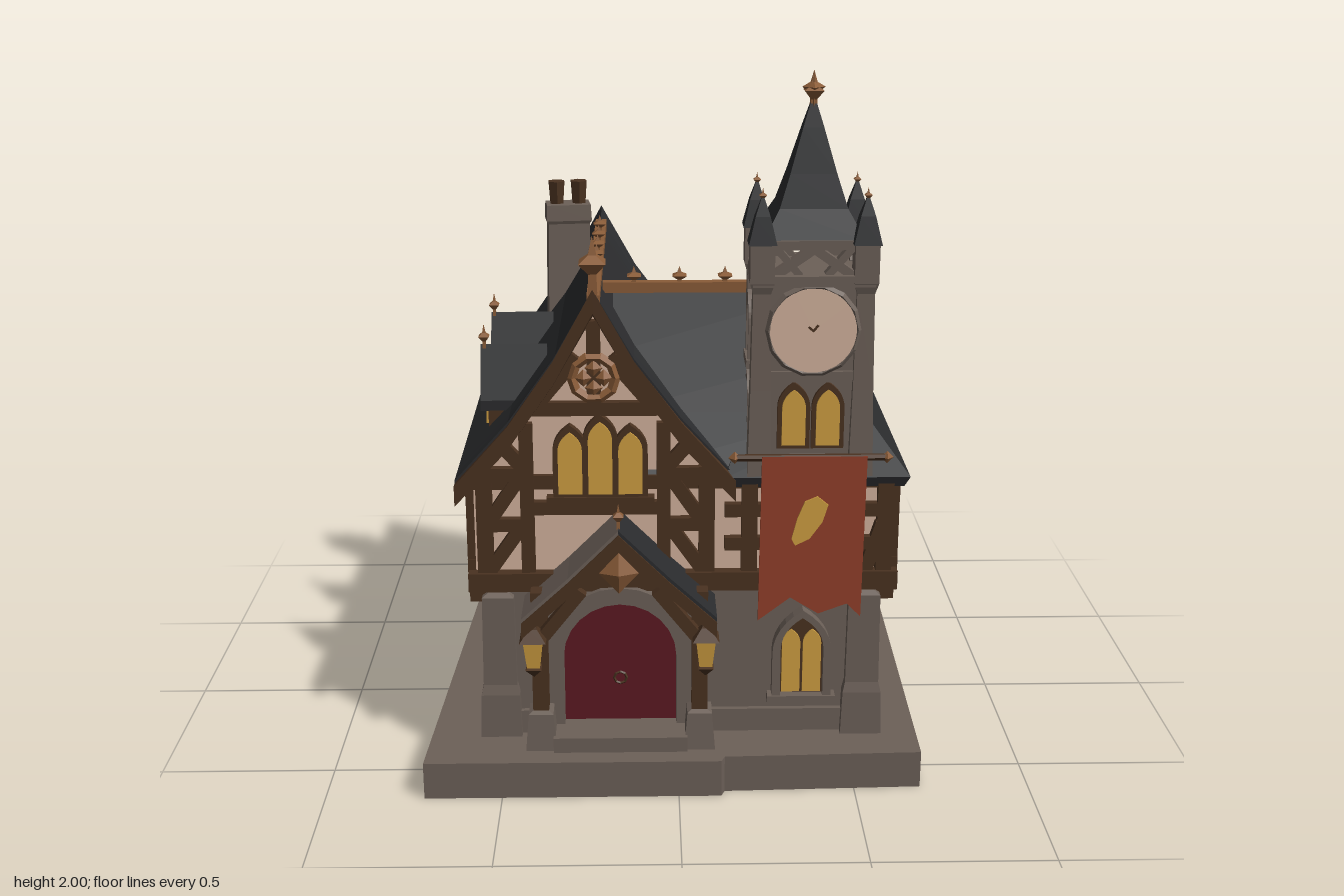
import * as THREE from 'three';

const mat = (name, color) => { const m = new THREE.MeshStandardMaterial({ color }); m.name = name; return m; };
const stone = mat('stone', 0x6c6058), slate = mat('slate', 0x2b2c2e), timber = mat('timber', 0x4a3220);
const plaster = mat('plaster', 0xd4b49e), glass = mat('glass', 0xd0a042), copper = mat('copper', 0x8a5c38);
const cloth = mat('cloth', 0x92402a), doorRed = mat('doorRed', 0x5c1922);

// Faceted mesh added to a parent
function add(parent, name, geo, material, x = 0, y = 0, z = 0) {
  const g = geo.index ? geo.toNonIndexed() : geo;
  g.computeVertexNormals();
  const m = new THREE.Mesh(g, material);
  m.name = name;
  m.position.set(x, y, z);
  parent.add(m);
  return m;
}
const box = (p, name, m, w, h, d, x, y, z) => add(p, name, new THREE.BoxGeometry(w, h, d), m, x, y, z);
const group = (p, name, x = 0, y = 0, z = 0, ry = 0) => {
  const g = new THREE.Group();
  g.name = name; g.position.set(x, y, z); g.rotation.y = ry;
  p.add(g);
  return g;
};
const extrude = (shape, depth, steps = 1) =>
  new THREE.ExtrudeGeometry(shape, { depth, steps, bevelEnabled: false, curveSegments: 6 });
const poly = pts => new THREE.Shape(pts.map(p => new THREE.Vector2(p[0], p[1])));

// Timber between two points of a facade
function beam(p, a, b, c, d, w = 0.038, z = 0.008, m = timber) {
  const r = box(p, 'beam', m, Math.hypot(c - a, d - b) + w * 0.5, w, 0.03, (a + c) / 2, (b + d) / 2, z);
  r.rotation.z = Math.atan2(d - b, c - a);
}
// Pointed or round arch outline standing on y = 0
function arch(w, h, round, C = THREE.Shape) {
  const s = new C(), r = w / 2, k = h - (round ? r : w * 0.8);
  s.moveTo(-r, 0); s.lineTo(r, 0); s.lineTo(r, k);
  if (round) s.absarc(0, k, r, 0, Math.PI, false);
  else { s.quadraticCurveTo(r, k + (h - k) * 0.6, 0, h); s.quadraticCurveTo(-r, k + (h - k) * 0.6, -r, k); }
  s.closePath();
  return s;
}
// Arched window with paired lights in a stone frame
function archWindow(p, u, y, w, h, z = 0) {
  const g = group(p, 'archWindow', u, y, z), s = arch(w, h), b = w * 0.14;
  s.holes.push(arch(w - 2 * b, h - b, false, THREE.Path));
  add(g, 'frame', extrude(s, 0.035), stone);
  add(g, 'tracery', extrude(arch(w - 2 * b, h - b), 0.012), timber);
  const lw = (w - 2 * b) * 0.43;
  for (const i of [-1, 1]) add(g, 'light', extrude(arch(lw, h * 0.7), 0.006), glass, i * lw * 0.57, h * 0.06, 0.012);
  box(g, 'sill', stone, w * 1.15, 0.025, 0.05, 0, 0, 0.015);
}
// Row of tall pointed lights in a timber panel
function lightRow(p, u, y, w, h, n, rise = 0) {
  const g = group(p, 'windowRow', u, y), step = w / n;
  for (let i = 0; i < n; i++) {
    const hi = h - rise * Math.abs(i - (n - 1) / 2), x = (i + 0.5) * step - w / 2;
    add(g, 'lightFrame', extrude(arch(step * 1.15, hi + 0.02), 0.025), timber, x, -0.015, 0);
    add(g, 'light', extrude(arch(step * 0.8, hi - 0.02), 0.006), glass, x, 0.005, 0.025);
  }
  box(g, 'sill', timber, w + 0.05, 0.03, 0.04, 0, -0.02, 0.01);
}
// Band of constant drop under a roof profile
const chevron = (pts, t) => poly([...pts, ...pts.map(([x, y]) => [x, y - t]).reverse()]);
const lower = (pts, t) => pts.map(([x, y]) => [x, y - t]);
// Four sided turned form from [radius, height] points
function square(p, name, m, pts, x, y, z, sx = 1, sz = 1) {
  const g = new THREE.LatheGeometry(pts.map(([r, h]) => new THREE.Vector2(r * Math.SQRT2, h)), 4);
  g.rotateY(Math.PI / 4); g.scale(sx, 1, sz);
  return add(p, name, g, m, x, y, z);
}
const finial = (p, x, y, z, h, r) =>
  square(p, 'finial', copper, [[0, 0], [r * 0.35, 0], [r * 0.3, h * 0.35], [r, h * 0.55], [r * 0.3, h * 0.68], [0, h]], x, y, z);

export function createModel() {
  const root = new THREE.Group();
  root.name = 'timberHall';

  // Stone base, ground floor and buttresses
  const base = extrude(poly([[-0.72, -0.66], [0.12, -0.66], [0.13, -0.635], [0.69, -0.62], [0.71, 0.67], [-0.65, 0.66]]), 0.11);
  base.rotateX(-Math.PI / 2);
  add(root, 'base', base, stone);
  box(root, 'groundFloor', stone, 1.1, 0.5, 1.02, 0.01, 0.34, -0.04);
  box(root, 'plinth', stone, 1.13, 0.08, 1.05, 0.01, 0.14, -0.04);
  for (const x of [-0.51, 0.53]) for (const z of [-0.53, 0.45])
    square(root, 'buttress', stone, [[0, 0], [0.06, 0], [0.055, 0.14], [0.048, 0.17], [0.045, 0.44], [0, 0.47]], x, 0.1, z);

  // Jettied upper floor
  box(root, 'upperFloor', plaster, 1.17, 0.32, 1.04, 0.015, 0.74, -0.05);
  box(root, 'jettyBeam', timber, 1.21, 0.055, 1.09, 0.015, 0.59, -0.0425);
  box(root, 'wallPlate', timber, 1.2, 0.04, 1.06, 0.015, 0.885, -0.0425);
  for (let i = 0; i < 9; i++) {
    const t = i / 8;
    for (const x of [-0.565, 0.59]) box(root, 'corbel', timber, 0.05, 0.05, 0.04, x, 0.545, -0.55 + t * 1.0);
    box(root, 'corbel', timber, 0.04, 0.05, 0.05, -0.53 + t * 1.08, 0.545, -0.57);
  }

  // Main roof with curved slopes and rising gable tips
  const prof = [[-0.62, 0.89], [-0.47, 1.05], [-0.34, 1.22], [-0.23, 1.4], [-0.12, 1.22], [0.01, 1.06], [0.16, 0.9]];
  const lift = g => {
    const q = g.attributes.position;
    for (let i = 0; i < q.count; i++) {
      const t = Math.max(0, (Math.abs((q.getZ(i) + 0.62) / 1.12 - 0.5) - 0.38) / 0.12);
      q.setY(i, q.getY(i) + 0.045 * t * t * Math.max(0, (q.getY(i) - 0.95) / 0.45));
    }
    return g;
  };
  const slab = (shape, a, b, steps) => { const g = extrude(shape, b - a, steps); g.translate(0, 0, a); return lift(g); };
  add(root, 'mainRoof', slab(chevron(prof, 0.05), -0.62, 0.48, 20), slate);
  add(root, 'frontBargeboard', slab(chevron(lower(prof, 0.008), 0.06), 0.48, 0.505, 1), timber);
  add(root, 'backBargeboard', slab(chevron(lower(prof, 0.035), 0.055), -0.61, -0.585, 1), timber);
  const fill = lower(prof.slice(1, 6), 0.03);
  add(root, 'gableWall', extrude(poly([[-0.57, 0.86], [-0.57, 0.91], ...fill, [0.13, 0.91], [0.13, 0.86]]), 1.04), plaster, 0, 0, -0.57);
  box(root, 'mainRidge', copper, 0.035, 0.03, 1.02, -0.23, 1.395, -0.06);
  for (const z of [0.16, 0.03, -0.1, -0.24, -0.39]) finial(root, -0.23, 1.4, z, 0.06, 0.02);
  finial(root, -0.23, 1.42, 0.475, 0.16, 0.036);

  // Cross roof reaching to the tower
  const cross = group(root, 'crossRoof', 0.48, 0, 0, -Math.PI / 2);
  const cp = [[-0.12, 0.93], [-0.02, 1.06], [0.08, 1.2], [0.19, 1.37], [0.28, 1.2], [0.37, 1.05], [0.482, 0.9]];
  add(cross, 'crossSlopes', extrude(poly(cp), 0.66), slate);
  add(cross, 'crossGableEnd', extrude(poly(lower(cp, 0.012)), 0.008), stone, 0, 0, -0.008);
  box(root, 'crossRidge', copper, 0.7, 0.03, 0.03, 0.14, 1.37, 0.19);
  for (const x of [-0.12, 0.01, 0.14]) finial(root, x, 1.37, 0.19, 0.06, 0.02);

  // Hipped roof on the side wing, lofted from rectangles [x0, x1, z0, z1, y]
  const rings = [[0.16, 0.63, -0.59, 0.49, 0.87], [0.13, 0.645, -0.61, 0.5, 0.9], [0.2, 0.53, -0.47, 0.34, 1.04], [0.3, 0.42, -0.35, 0.1, 1.17]];
  const pos = [], idx = [];
  rings.forEach(([a, b, c, d, y], i) => {
    pos.push(a, y, d, b, y, d, b, y, c, a, y, c);
    if (i) for (let k = 0; k < 4; k++) {
      const p = i * 4 - 4 + k, q = i * 4 - 4 + (k + 1) % 4;
      idx.push(p, q, q + 4, p, q + 4, p + 4);
    }
  });
  idx.push(0, 2, 1, 0, 3, 2, 12, 13, 14, 12, 14, 15);
  const hip = new THREE.BufferGeometry();
  hip.setAttribute('position', new THREE.Float32BufferAttribute(pos, 3));
  hip.setIndex(idx);
  add(root, 'hipRoof', hip, slate);
  box(root, 'hipRidgeCap', stone, 0.11, 0.016, 0.42, 0.355, 1.17, -0.14);

  // Facades: local x along the wall, z outward
  const front = group(root, 'frontFacade', 0, 0, 0.47), back = group(root, 'backFacade', 0, 0, -0.57, Math.PI);
  const gableFrame = (f, s) => {
    const c = -0.23 * s, B = (a, b, d, e, w) => beam(f, c + a, b, c + d, e, w);
    for (const i of [-1, 1]) {
      B(i * 0.31, 0.6, i * 0.31, 0.92, 0.045); B(i * 0.19, 0.6, i * 0.19, 1.05); B(i * 0.31, 0.91, i * 0.2, 0.91);
      B(i * 0.31, 0.76, i * 0.2, 0.76); B(i * 0.3, 0.62, i * 0.21, 0.75); B(i * 0.2, 0.93, i * 0.26, 1.0);
      B(i * 0.15, 1.12, i * 0.05, 1.24); B(i * 0.29, 0.78, i * 0.21, 0.9);
    }
    B(-0.17, 1.1, 0.17, 1.1); B(0, 1.1, 0, 1.34);
    add(f, 'gableRosette', new THREE.TorusGeometry(0.06, 0.014, 4, 10), copper, c, 1.19, 0.02);
    for (let k = 0; k < 4; k++)
      add(f, 'rosettePetal', new THREE.OctahedronGeometry(0.025).scale(1, 1, 0.6), copper, c + 0.028 * Math.cos(k * Math.PI / 2), 1.19 + 0.028 * Math.sin(k * Math.PI / 2), 0.022);
  };
  gableFrame(front, 1);
  gableFrame(back, -1);
  lightRow(front, -0.215, 0.85, 0.25, 0.23, 3, 0.03);
  beam(front, -0.42, 0.81, -0.04, 0.81);
  lightRow(back, 0.23, 0.72, 0.3, 0.33, 4, 0.03);
  for (const u of [0.2, 0.58]) beam(front, u, 0.61, u, 0.89, 0.045);
  for (const y of [0.7, 0.8]) beam(front, 0.14, y, 0.56, y);
  beam(front, 0.53, 0.62, 0.57, 0.75);
  for (const u of [-0.57, -0.44, -0.32, -0.16]) beam(back, u, 0.61, u, 0.89);
  beam(back, -0.57, 0.76, -0.14, 0.76);
  beam(back, -0.56, 0.61, -0.45, 0.75); beam(back, -0.17, 0.61, -0.3, 0.75);
  archWindow(front, 0.355, 0.22, 0.17, 0.28);
  for (const u of [-0.3, 0.2]) archWindow(back, u, 0.23, 0.18, 0.28, -0.02);

  for (const s of [1, -1]) {
    const f = group(root, s > 0 ? 'leftFacade' : 'rightFacade', s > 0 ? 0.6 : -0.57, 0, 0, s * Math.PI / 2);
    const B = (a, b, c, d, w) => beam(f, a * s, b, c * s, d, w);
    for (const u of [-0.45, -0.31, -0.17, -0.05, 0.15, 0.26, 0.4, 0.55]) B(u, 0.6, u, 0.87, 0.032);
    B(-0.46, 0.85, 0.55, 0.85); B(-0.46, 0.63, 0.55, 0.63);
    B(-0.43, 0.82, -0.33, 0.66); B(-0.06, 0.64, -0.15, 0.82); B(0.16, 0.64, 0.25, 0.82); B(0.53, 0.82, 0.42, 0.65);
    for (const u of [-0.24, 0.33]) box(f, 'redPanel', cloth, 0.11, 0.19, 0.008, u * s, 0.74, 0.012);
    beam(f, 0.05 * s - 0.08, 0.67, 0.05 * s + 0.08, 0.67);
    lightRow(f, 0.05 * s, 0.7, 0.16, 0.14, 2);
    for (const u of [-0.13, 0.27]) archWindow(f, u * s, 0.22, 0.2, 0.29, s > 0 ? -0.04 : -0.03);
  }

  // Dormers on the side slope
  for (const z of [-0.14, 0.22]) {
    const d = group(root, 'dormer', -0.54, 0, z, -Math.PI / 2);
    add(d, 'dormerBody', extrude(poly([[-0.045, 0.94], [0.045, 0.94], [0.045, 1.09], [0, 1.18], [-0.045, 1.09]]), 0.17), timber, 0, 0, -0.17);
    add(d, 'dormerRoof', extrude(chevron([[-0.065, 1.06], [0, 1.21], [0.065, 1.06]], 0.03), 0.19), slate, 0, 0, -0.17);
    add(d, 'dormerLight', extrude(arch(0.055, 0.12), 0.008), glass, 0, 0.98, 0);
    finial(d, 0, 1.19, 0.01, 0.08, 0.015);
  }

  // Chimney with two pots
  const chim = group(root, 'chimney', -0.33, 0, -0.39, 0.12);
  square(chim, 'stack', stone, [[0, 1.05], [0.075, 1.05], [0.068, 1.44], [0.075, 1.45], [0.072, 1.5], [0, 1.5]], 0, 0, 0, 0.95, 0.62);
  for (const x of [-0.035, 0.035]) add(chim, 'pot', new THREE.CylinderGeometry(0.028, 0.022, 0.08, 6), timber, x, 1.53, 0);

  // Clock tower
  const tower = group(root, 'clockTower', 0.365, 0, 0.345);
  box(tower, 'shaft', stone, 0.28, 0.58, 0.25, 0, 1.17, 0);
  for (const [y, e] of [[0.945, 0.05], [1.185, 0.02], [1.455, 0.05]]) box(tower, 'cornice', stone, 0.28 + e, 0.03, 0.25 + e, 0, y, 0);
  box(tower, 'belfryTop', stone, 0.29, 0.025, 0.26, 0, 1.55, 0);
  for (const x of [-0.14, 0.14]) for (const z of [-0.118, 0.118]) {
    square(tower, 'cornerPier', stone, [[0, 0.9], [0.034, 0.9], [0.028, 1.15], [0.024, 1.42], [0.033, 1.45], [0.033, 1.56], [0, 1.56]], x, 0, z);
    square(tower, 'pinnacle', slate, [[0, 1.55], [0.038, 1.555], [0.02, 1.63], [0, 1.69]], x, 0, z);
    finial(tower, x, 1.66, z, 0.045, 0.01);
  }
  for (let k = 0; k < 4; k++) {
    const a = k * Math.PI / 2, r = k % 2 ? 0.14 : 0.125, f = group(tower, 'towerSide', r * Math.sin(a), 0, r * Math.cos(a), a);
    for (const i of [-1, 1]) { beam(f, i * 0.1, 1.47, 0, 1.54, 0.025, -0.01, stone); beam(f, i * 0.1, 1.54, i * 0.04, 1.47, 0.02, -0.01, stone); }
    if (k) { archWindow(f, 0, 1.2, 0.11, 0.2, -0.005); archWindow(f, 0, 0.98, 0.11, 0.19, -0.005); }
    else for (const u of [-0.047, 0.047]) {
      add(f, 'towerWindowFrame', extrude(arch(0.09, 0.19), 0.012), timber, u, 0.98, 0);
      add(f, 'towerWindow', extrude(arch(0.065, 0.16), 0.006), glass, u, 0.99, 0.012);
    }
  }
  const dial = group(tower, 'clock', 0, 1.32, 0.13);
  add(dial, 'clockFace', new THREE.CylinderGeometry(0.12, 0.12, 0.03, 14).rotateX(Math.PI / 2), plaster, 0, 0, 0.005);
  add(dial, 'clockRim', new THREE.TorusGeometry(0.122, 0.01, 4, 14), stone, 0, 0, 0.012);
  beam(dial, 0, 0, 0.012, 0.015, 0.006, 0.008);
  beam(dial, 0, 0, -0.012, 0.01, 0.006, 0.008);
  square(tower, 'spire', slate, [[0, 1.555], [0.138, 1.56], [0.092, 1.64], [0.063, 1.73], [0.028, 1.85], [0, 1.94]], 0, 0, 0, 1, 0.9);
  finial(tower, 0, 1.88, 0, 0.12, 0.026);
  finial(tower, 0, 1.9, 0, 0.1, 0.022).rotation.y = Math.PI / 4;

  // Hanging banner on its pole
  const banner = group(root, 'banner', 0.375, 0, 0.515);
  add(banner, 'pole', new THREE.CylinderGeometry(0.01, 0.01, 0.42, 6).rotateZ(Math.PI / 2), timber, -0.01, 0.965, 0);
  for (const x of [-0.22, 0.2]) add(banner, 'poleKnob', new THREE.OctahedronGeometry(0.018), copper, x, 0.965, 0);
  add(banner, 'cloth', extrude(poly([[-0.145, 0.97], [-0.15, 0.48], [-0.06, 0.55], [0.02, 0.5], [0.1, 0.53], [0.14, 0.49], [0.145, 0.97]]), 0.01), cloth);
  add(banner, 'emblem', extrude(poly([[-0.06, 0.73], [-0.05, 0.71], [-0.01, 0.73], [0.025, 0.78], [0.04, 0.83], [0.01, 0.855], [-0.025, 0.84], [-0.045, 0.79]]), 0.006), glass, 0, 0, 0.01);

  // Entrance porch
  const porch = group(root, 'porch', -0.165, 0, 0);
  const pp = [[-0.27, 0.54], [-0.14, 0.66], [0, 0.8], [0.14, 0.66], [0.27, 0.54]];
  add(porch, 'porchRoofSlate', extrude(chevron(pp.slice(2), 0.035), 0.16), slate, 0, 0, 0.475);
  add(porch, 'porchRoofStone', extrude(chevron(pp.slice(0, 3), 0.035), 0.16), stone, 0, 0, 0.475);
  add(porch, 'porchBargeboard', extrude(chevron(lower(pp, 0.012), 0.045), 0.02), timber, 0, 0, 0.62);
  add(porch, 'porchGable', extrude(poly([[-0.13, 0.62], [0.13, 0.62], [0, 0.76]]), 0.02), timber, 0, 0, 0.585);
  add(porch, 'porchCarving', new THREE.OctahedronGeometry(0.055).scale(1, 1.1, 0.4), copper, 0, 0.665, 0.61);
  finial(porch, 0, 0.79, 0.61, 0.08, 0.014);
  const surround = arch(0.42, 0.48, true);
  surround.holes.push(arch(0.32, 0.43, true, THREE.Path));
  add(porch, 'doorSurround', extrude(surround, 0.06), stone, 0, 0.1, 0.46);
  add(porch, 'door', extrude(arch(0.32, 0.43, true), 0.03), doorRed, 0, 0.1, 0.46);
  add(porch, 'doorHandle', new THREE.TorusGeometry(0.018, 0.004, 4, 8), timber, -0.0, 0.29, 0.495);
  box(porch, 'step', stone, 0.38, 0.05, 0.13, 0, 0.13, 0.54);
  for (const i of [-1, 1]) {
    box(porch, 'porchPost', timber, 0.045, 0.46, 0.045, i * 0.225, 0.36, 0.55);
    square(porch, 'postFoot', stone, [[0, 0], [0.045, 0], [0.035, 0.12], [0, 0.14]], i * 0.225, 0.1, 0.55);
    beam(porch, i * 0.22, 0.46, i * 0.11, 0.6, 0.035, 0.59);
    box(porch, 'porchPlate', timber, 0.04, 0.03, 0.15, i * 0.22, 0.545, 0.55);
    const lamp = group(porch, 'lantern', i * 0.24, 0.38, 0.605);
    square(lamp, 'lanternGlow', glass, [[0, 0], [0.018, 0.005], [0.027, 0.085], [0, 0.09]], 0, 0, 0);
    square(lamp, 'lanternCap', timber, [[0, 0.085], [0.037, 0.087], [0.012, 0.12], [0, 0.15]], 0, 0, 0);
    square(lamp, 'lanternFoot', timber, [[0, -0.03], [0.022, 0], [0, 0.008]], 0, 0, 0);
    box(lamp, 'lanternArm', timber, 0.014, 0.014, 0.07, 0, 0.14, -0.025);
  }
  return root;
}
